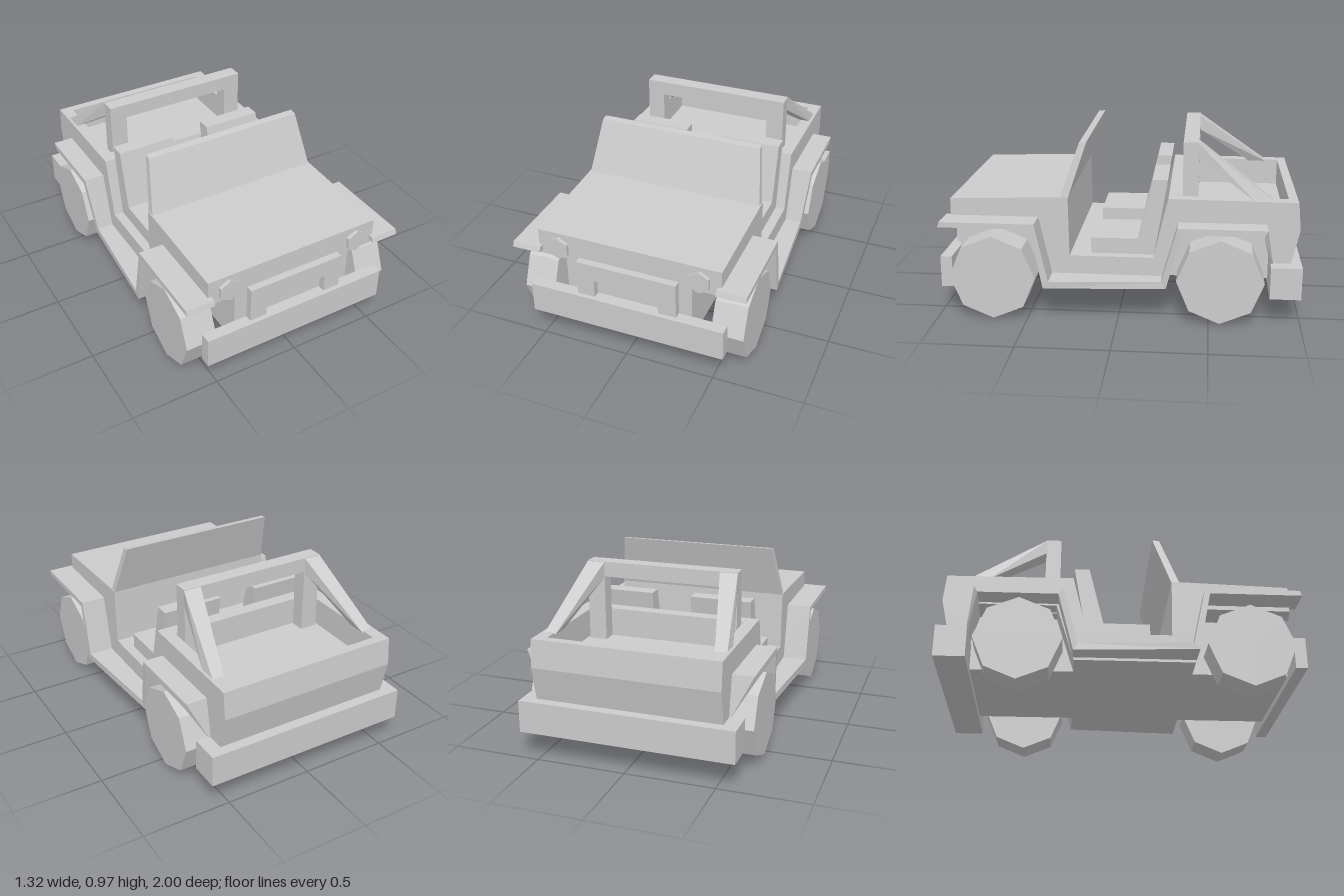
import * as THREE from 'three';

const material = new THREE.MeshStandardMaterial({ color: 0xcccccc, flatShading: true, side: THREE.DoubleSide });

function add(parent, name, geometry, x = 0, y = 0, z = 0) {
  const mesh = new THREE.Mesh(geometry, material);
  mesh.name = name;
  mesh.position.set(x, y, z);
  parent.add(mesh);
  return mesh;
}

// Box given by its limits on each axis
function box(parent, name, [x0, x1], [y0, y1], [z0, z1]) {
  return add(parent, name, new THREE.BoxGeometry(x1 - x0, y1 - y0, z1 - z0),
    (x0 + x1) / 2, (y0 + y1) / 2, (z0 + z1) / 2);
}

// Side profile of [z, y] points, extruded across the model from x0 to x1
function extrudeX(points, x0, x1) {
  const shape = new THREE.Shape(points.map(([z, y]) => new THREE.Vector2(-z, y)));
  return new THREE.ExtrudeGeometry(shape, { depth: x1 - x0, bevelEnabled: false })
    .rotateY(Math.PI / 2).translate(x0, 0, 0);
}

function moveVertices(geometry, rule) {
  const p = geometry.attributes.position;
  const v = new THREE.Vector3();
  for (let i = 0; i < p.count; i++) {
    rule(v.fromBufferAttribute(p, i));
    p.setXYZ(i, v.x, v.y, v.z);
  }
  geometry.computeVertexNormals();
  return geometry;
}

// Body outline, optionally with wheel arches and the open bed
function bodyProfile(arches, bed) {
  const top = [[0.935, 0.655], [0.28, 0.675], [0.275, 0.34], [-0.19, 0.34], [-0.27, 0.68]];
  const bedCut = [[-0.345, 0.68], [-0.345, 0.52], [-0.92, 0.52], [-0.92, 0.675]];
  const back = [[-0.97, 0.675], [-0.985, 0.52], [-0.94, 0.32], [-0.86, 0.18]];
  const under = arches
    ? [[-0.85, 0.18], [-0.84, 0.33], [-0.79, 0.505], [-0.36, 0.505], [-0.26, 0.18],
      [0.40, 0.18], [0.47, 0.505], [0.935, 0.505]]
    : [[0.935, 0.18]];
  return [...top, ...(bed ? bedCut : []), ...back, ...under];
}

// Beam with four-sided ends; each end is a loop of four corners
function beam(a, b) {
  const g = new THREE.BufferGeometry();
  g.setAttribute('position', new THREE.Float32BufferAttribute([...a, ...b].flat(), 3));
  const index = [0, 2, 1, 0, 3, 2, 4, 5, 6, 4, 6, 7];
  for (let i = 0; i < 4; i++) {
    const j = (i + 1) % 4;
    index.push(i, j, j + 4, i, j + 4, i + 4);
  }
  g.setIndex(index);
  g.computeVertexNormals();
  return g;
}

export function createModel() {
  const model = new THREE.Group();
  model.name = 'offRoadCar';

  // Central body; the side slabs carry the arches
  add(model, 'bodyCentre', extrudeX(bodyProfile(false, true), -0.36, 0.36));

  // Windscreen panel, narrowing towards the top
  const screen = extrudeX([[0.325, 0.67], [0.22, 0.97], [0.18, 0.975], [0.28, 0.67]], -0.515, 0.515);
  add(model, 'windscreen', moveVertices(screen, v => {
    v.x *= 1 - 0.087 * (v.y - 0.67) / 0.305;
  }));

  // Grille surround
  const grille = new THREE.Shape([[-0.285, 0.32], [-0.285, 0.53], [0.285, 0.53], [0.285, 0.32],
    [0.185, 0.32], [0.185, 0.43], [-0.185, 0.43], [-0.185, 0.32]].map(p => new THREE.Vector2(...p)));
  add(model, 'grilleSurround', new THREE.ExtrudeGeometry(grille, { depth: 0.04, bevelEnabled: false }), 0, 0, 0.935);

  // Bumpers
  box(model, 'frontBumper', [-0.555, 0.555], [0.147, 0.325], [0.935, 1]);
  box(model, 'rearBumper', [-0.6, 0.6], [0.15, 0.33], [-1, -0.83]);

  // Roll bar
  box(model, 'rollBarTop', [-0.435, 0.435], [0.89, 0.975], [-0.43, -0.345]);

  // Continuous wing and running board strip
  const wing = [[0.975, 0.53], [0.965, 0.56], [0.445, 0.56], [0.375, 0.235], [-0.24, 0.235],
    [-0.325, 0.55], [-0.805, 0.55], [-0.845, 0.33], [-0.83, 0.33], [-0.785, 0.515],
    [-0.35, 0.515], [-0.265, 0.195], [0.405, 0.195], [0.47, 0.53]];
  const wingWidth = z => z > 0.37 ? 0.662 : z > -0.3 ? 0.615 : z > -0.82 ? 0.638 : 0.53;

  for (const s of [1, -1]) {
    const side = s > 0 ? 'left' : 'right';
    const span = (a, b) => s > 0 ? [a, b] : [-b, -a];

    add(model, side + 'WheelHouse', extrudeX(bodyProfile(true, true), ...span(0.36, 0.45)));
    add(model, side + 'BodySide', extrudeX(bodyProfile(true, false), ...span(0.45, 0.52)));

    add(model, side + 'Wing', moveVertices(extrudeX(wing, ...span(0.5, 0.66)), v => {
      if (Math.abs(v.x) > 0.6) v.x = s * wingWidth(v.z);
    }));

    // Octagonal wheels
    for (const [end, z, y] of [['Front', 0.69, 0.24], ['Rear', -0.56, 0.25]]) {
      const wheel = new THREE.CylinderGeometry(0.238, 0.238, 0.18, 8).rotateZ(Math.PI / 2);
      add(model, side + end + 'Wheel', wheel, s * 0.55, y, z);
    }

    // Hexagonal headlamp
    const lamp = new THREE.CylinderGeometry(0.064, 0.064, 0.03, 6).rotateX(Math.PI / 2);
    add(model, side + 'Headlamp', lamp, s * 0.4, 0.57, 0.94);

    // Seat with cushion and leaning back
    const seat = [[0.16, 0.335], [0.16, 0.43], [-0.10, 0.43], [-0.18, 0.77], [-0.265, 0.77], [-0.19, 0.335]];
    add(model, side + 'Seat', extrudeX(seat, ...span(0.115, 0.465)));

    // Roll bar post and rear brace
    box(model, side + 'RollBarPost', span(0.335, 0.435), [0.5, 0.9], [-0.43, -0.345]);
    add(model, side + 'RollBarBrace', beam(
      [[s * 0.335, 0.975, -0.425], [s * 0.435, 0.975, -0.425], [s * 0.435, 0.89, -0.425], [s * 0.335, 0.89, -0.425]],
      [[s * 0.44, 0.67, -0.845], [s * 0.505, 0.67, -0.845], [s * 0.505, 0.67, -0.74], [s * 0.44, 0.67, -0.74]]));
  }
  return model;
}
